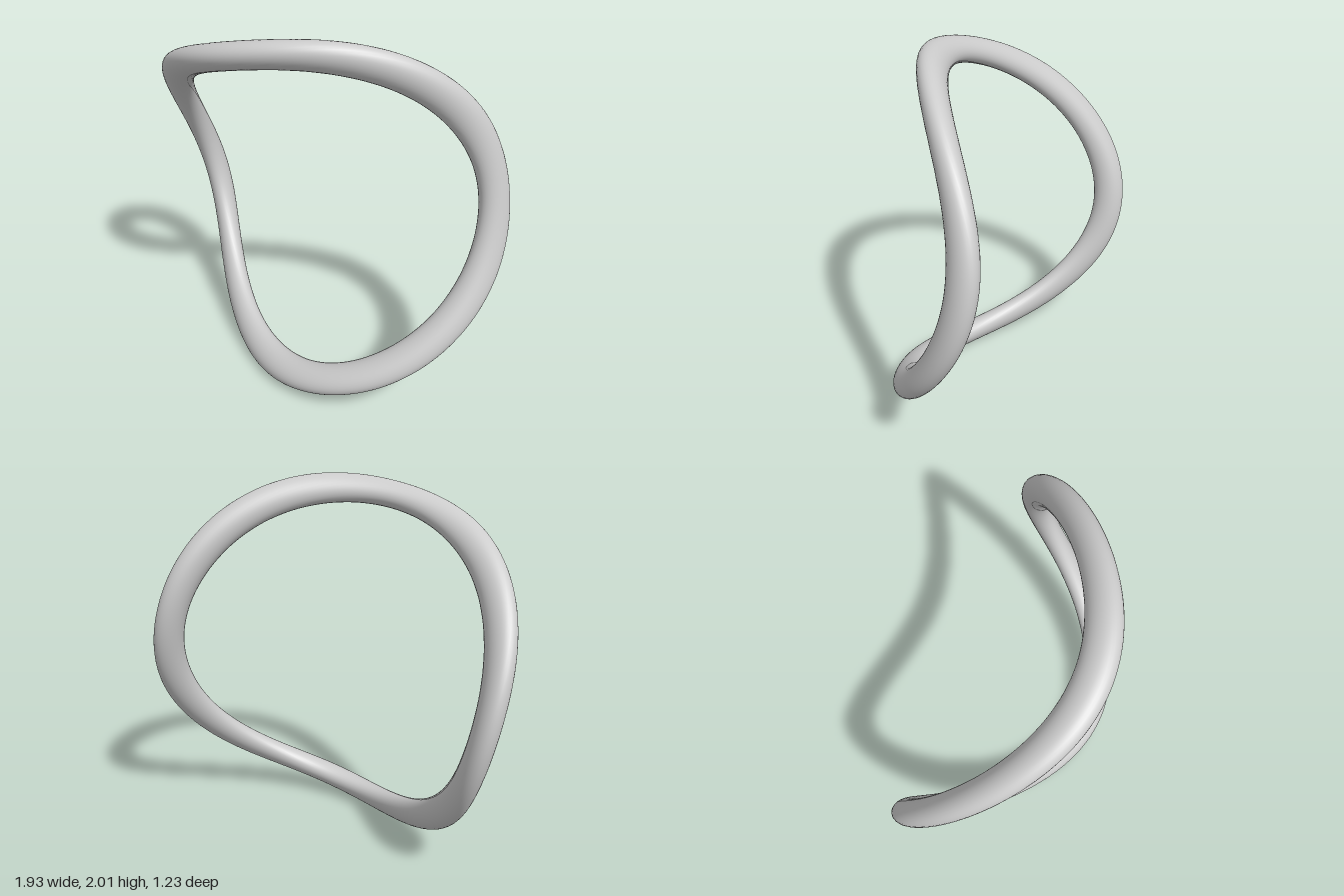
import * as THREE from 'three';

const RADIUS = 0.97, WAVE = 0.37;    // sphere the ring lies on, and its saddle wave
const HALF_WIDE = 0.09, HALF_THIN = 0.067; // oval cross-section
const STEPS = 240, SIDES = 32;

// Tilted frame of the ring: two axes in its plane and the plane's normal
const e1 = new THREE.Vector3(0.913, 0.232, 0.336).normalize();
const n = e1.clone().cross(new THREE.Vector3(-0.23, 0.969, -0.087)).normalize();
const e2 = n.clone().cross(e1);

// Centre line: a saddle wave laid on a sphere, like the seam of a ball
const seam = (t) => new THREE.Vector3()
  .addScaledVector(e1, Math.cos(t))
  .addScaledVector(e2, Math.sin(t))
  .addScaledVector(n, -WAVE * Math.cos(2 * t))
  .setLength(RADIUS);

// Closed oval tube along the seam, wide side toward the bend
function saddleRing() {
  const positions = [], index = [], h = 0.01;
  for (let i = 0; i < STEPS; i++) {
    const t = (i / STEPS) * Math.PI * 2;
    const point = seam(t), before = seam(t - h), after = seam(t + h);
    const tangent = after.clone().sub(before).normalize();
    const bend = after.clone().add(before).addScaledVector(point, -2);
    const binormal = tangent.clone().cross(bend).normalize();
    const normal = binormal.clone().cross(tangent);
    for (let j = 0; j < SIDES; j++) {
      const v = (j / SIDES) * Math.PI * 2;
      const p = point.clone()
        .addScaledVector(normal, HALF_WIDE * Math.cos(v))
        .addScaledVector(binormal, HALF_THIN * Math.sin(v));
      positions.push(p.x, p.y, p.z);
      const i2 = (i + 1) % STEPS, j2 = (j + 1) % SIDES;
      const a = i * SIDES + j, b = i * SIDES + j2, c = i2 * SIDES + j, d = i2 * SIDES + j2;
      index.push(a, b, c, b, d, c);
    }
  }
  const geometry = new THREE.BufferGeometry();
  geometry.setAttribute('position', new THREE.Float32BufferAttribute(positions, 3));
  geometry.setIndex(index);
  geometry.computeVertexNormals();
  return geometry;
}

export function createModel() {
  const group = new THREE.Group();
  const geometry = saddleRing();

  // Centre the ring and stand it on the ground
  geometry.center();
  geometry.translate(0, -geometry.boundingBox.min.y, 0);

  const ring = new THREE.Mesh(geometry, new THREE.MeshStandardMaterial({ color: 0xcccccc }));
  ring.name = 'saddleRing';
  group.add(ring);
  return group;
}
